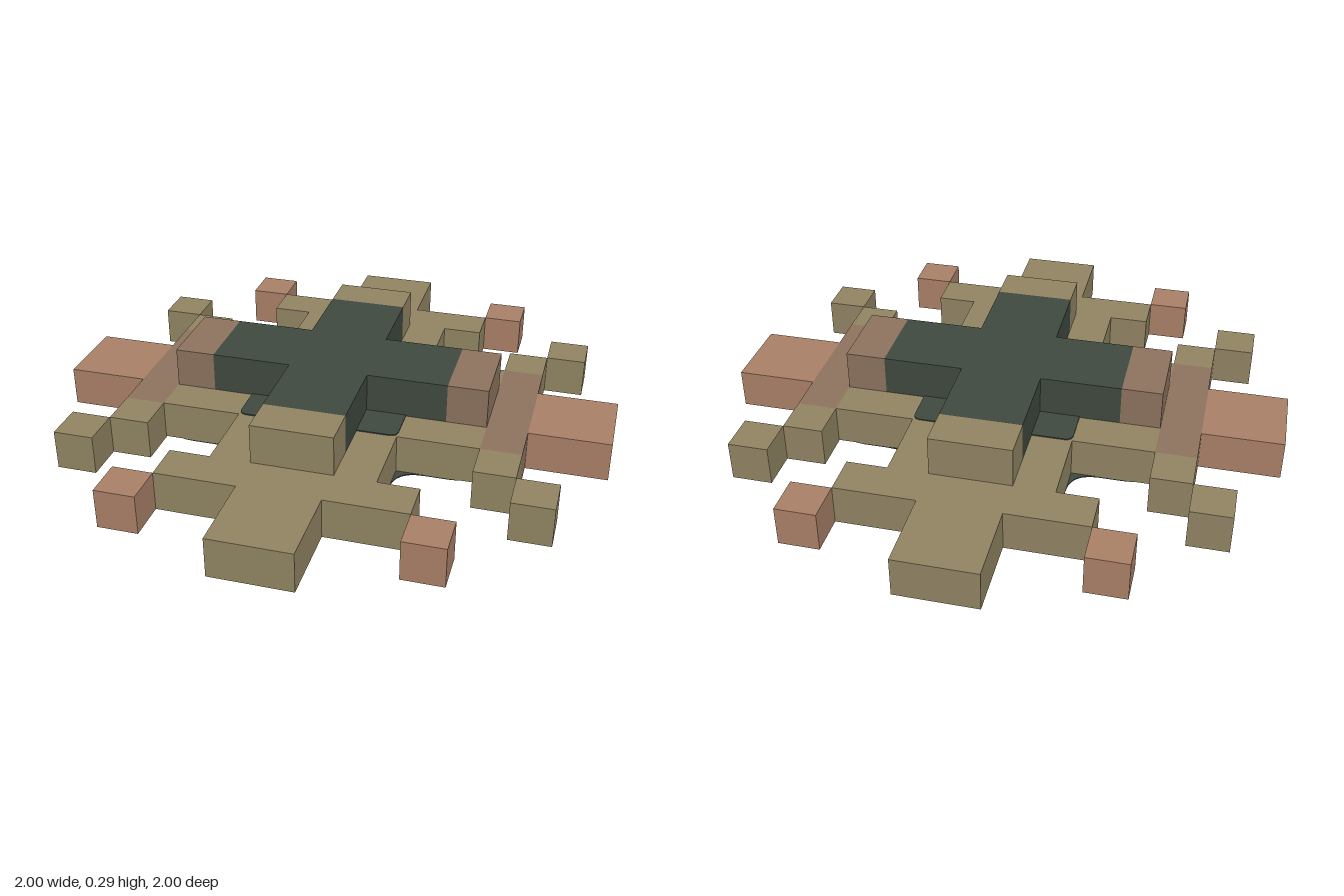
import * as THREE from 'three';

const U = 1 / 7; // one grid cell
const SKIN = 0.004; // thickness of the inlaid plates

const material = (name, color) => {
  const m = new THREE.MeshStandardMaterial({ color });
  m.name = name;
  return m;
};

// Closed outline (in cells) with every corner rounded by radius r
function roundedShape(points, r) {
  const p = points.map(([x, y]) => new THREE.Vector2(x * U, y * U));
  const shape = new THREE.Shape();
  p.forEach((c, i) => {
    const prev = p[(i + p.length - 1) % p.length];
    const next = p[(i + 1) % p.length];
    const a = c.clone().add(prev.clone().sub(c).setLength(r));
    const b = c.clone().add(next.clone().sub(c).setLength(r));
    if (i === 0) shape.moveTo(a.x, a.y);
    else shape.lineTo(a.x, a.y);
    shape.quadraticCurveTo(c.x, c.y, b.x, b.y);
  });
  shape.closePath();
  return shape;
}

export function createModel() {
  const group = new THREE.Group();
  const olive = material('olive', 0x938664);
  const clay = material('clay', 0xab8268);
  const mauve = material('mauve', 0x8e7460);
  const dark = material('darkGreen', 0x404a40);

  // Box spanning cells x0..x1, z0..z1 on a layer, optionally lifted off the floor
  const block = (name, mat, x0, x1, z0, z1, layer = 0, lift = 0) => {
    const h = U - lift;
    const mesh = new THREE.Mesh(new THREE.BoxGeometry((x1 - x0) * U, h, (z1 - z0) * U), mat);
    mesh.position.set((x0 + x1) * U / 2, layer * U + lift + h / 2, (z0 + z1) * U / 2);
    mesh.name = name;
    group.add(mesh);
  };
  // Same box, mirrored by the signs sx and sz
  const mirrored = (name, mat, sx, sz, x0, x1, z0, z1, layer, lift) => {
    const [a, b] = sx > 0 ? [x0, x1] : [-x1, -x0];
    const [c, d] = sz > 0 ? [z0, z1] : [-z1, -z0];
    block(name, mat, a, b, c, d, layer, lift);
  };
  const plate = (name, points, r, y) => {
    const geo = new THREE.ExtrudeGeometry(roundedShape(points, r), {
      depth: SKIN, bevelEnabled: false, curveSegments: 6,
    });
    geo.rotateX(-Math.PI / 2);
    const mesh = new THREE.Mesh(geo, dark);
    mesh.position.y = y;
    mesh.name = name;
    group.add(mesh);
  };

  // Lower layer: central core, lifted to seat the underside plate
  block('baseCore', olive, -2, 2, -4, 4, 0, SKIN);

  // Upper layer: cross
  block('upperCrossBar', dark, -3, 3, -1, 1, 1);

  for (const s of [1, -1]) {
    mirrored('baseSide', olive, s, 1, 2, 4, -2, 2, 0, SKIN);
    // Front and back arms
    mirrored('crossbar', olive, 1, s, -3, 3, 4, 5);
    mirrored('endArm', olive, 1, s, -1, 1, 5, 7);
    // Left and right arms
    mirrored('sideBar', mauve, s, 1, 4, 5, -2, 2);
    mirrored('sideArm', clay, s, 1, 5, 7, -1, 1);
    // Arms of the upper cross and their end caps
    mirrored('upperCrossArm', dark, 1, s, -1, 1, 1, 3, 1);
    mirrored('upperEndCap', olive, 1, s, -1, 1, 3, 4, 1);
    mirrored('upperSideCap', mauve, s, 1, 3, 4, -1, 1, 1);
    // Cubes touching the body only at their edges
    for (const t of [1, -1]) {
      mirrored('sideBarEnd', olive, s, t, 4, 5, 2, 3);
      mirrored('outerCube', olive, s, t, 5, 6, 3, 4);
      mirrored('cornerCube', clay, s, t, 3, 4, 5, 6);
    }
  }

  // Dark inlays on top of the base and beneath it
  plate('topInlay', [[-2, -2], [2, -2], [2, 2], [-2, 2]], 0.03, U);
  plate('undersideInlay', [
    [-2, -4], [2, -4], [2, -2], [4, -2], [4, 2], [2, 2],
    [2, 4], [-2, 4], [-2, 2], [-4, 2], [-4, -2], [-2, -2],
  ], 0.1, 0);

  return group;
}
